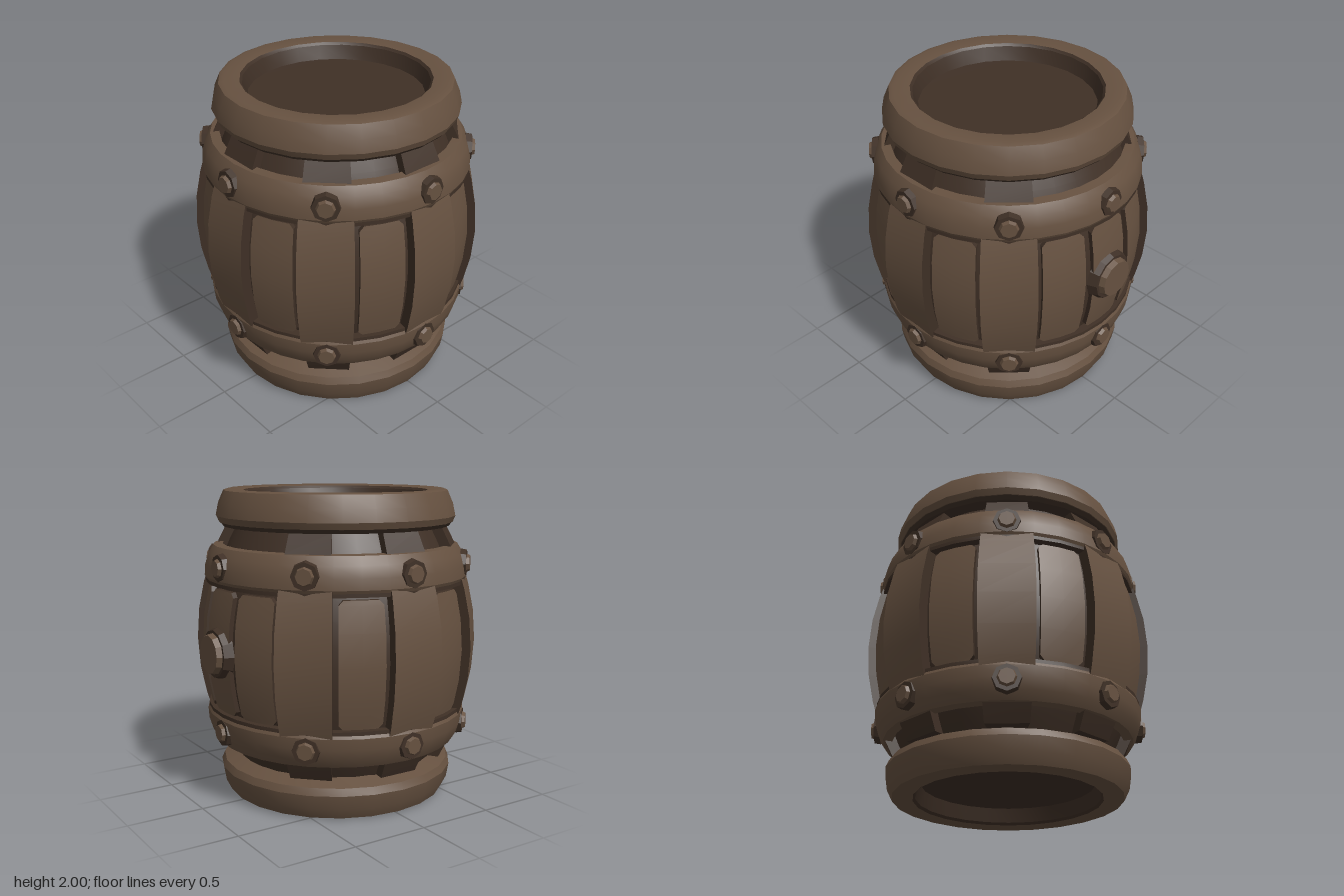
import * as THREE from 'three';
import { toCreasedNormals } from 'three/addons/utils/BufferGeometryUtils.js';

const wood = new THREE.MeshStandardMaterial({ color: 0x665140 });
wood.name = 'brown wood';
const dark = new THREE.MeshStandardMaterial({ color: 0x3f3026 });
dark.name = 'dark wood';

const STAVES = 16;
const STEP = (Math.PI * 2) / STAVES;
// Barrel bulge: stave radius at a given height
const bulge = (y) => 0.915 - 0.35 * (y - 1) ** 2;

function add(parent, name, geometry, material, crease = 0.45) {
  const mesh = new THREE.Mesh(toCreasedNormals(geometry, crease), material);
  mesh.name = name;
  parent.add(mesh);
  return mesh;
}

// Surface of revolution from [radius, y] pairs, running up the outside
function lathe(parent, name, pairs, material, segments = 24) {
  const points = pairs.map(([r, y]) => new THREE.Vector2(r, y));
  return add(parent, name, new THREE.LatheGeometry(points, segments), material);
}

// Curved plank facing +z: cross-sections at each height; face is group 0, sides group 1
function plank(heights, radius, halfAngle, cols, depth) {
  const point = (y, i, back) => {
    const half = halfAngle(y);
    const a = -half + (2 * half * i) / cols;
    const r = cols === 1 ? radius(y) / Math.cos(half) : radius(y);
    const rr = r - (back ? depth : 0);
    return [Math.sin(a) * rr, y, Math.cos(a) * rr];
  };
  const pos = [];
  const quad = (a, b, c, d) => pos.push(...a, ...b, ...c, ...a, ...c, ...d);
  const last = heights.length - 1;
  for (let j = 0; j < last; j++) {
    const [y0, y1] = [heights[j], heights[j + 1]];
    for (let i = 0; i < cols; i++) quad(point(y0, i), point(y0, i + 1), point(y1, i + 1), point(y1, i));
  }
  const faceCount = pos.length / 3;
  for (let j = 0; j < last; j++) {
    const [y0, y1] = [heights[j], heights[j + 1]];
    quad(point(y0, 0, true), point(y0, 0), point(y1, 0), point(y1, 0, true));
    quad(point(y0, cols), point(y0, cols, true), point(y1, cols, true), point(y1, cols));
  }
  for (let i = 0; i < cols; i++) {
    const [b, t] = [heights[0], heights[last]];
    quad(point(b, i, true), point(b, i + 1, true), point(b, i + 1), point(b, i));
    quad(point(t, i), point(t, i + 1), point(t, i + 1, true), point(t, i, true));
  }
  const geo = new THREE.BufferGeometry();
  geo.setAttribute('position', new THREE.Float32BufferAttribute(pos, 3));
  geo.addGroup(0, faceCount, 0);
  geo.addGroup(faceCount, pos.length / 3 - faceCount, 1);
  return geo;
}

// Low cone frustum pointing along +z
function knob(rBase, rTop, depth, sides) {
  return new THREE.CylinderGeometry(rTop, rBase, depth, sides).rotateX(Math.PI / 2);
}

export function createModel() {
  const barrel = new THREE.Group();
  barrel.name = 'barrel';
  barrel.position.z = 0.01;

  // Dark core seen in the grooves and at the necks
  const core = [];
  for (let k = 0; k <= 12; k++) {
    const y = 0.2 + (k / 12) * 1.6;
    core.push([bulge(y) - 0.06, y]);
  }
  lathe(barrel, 'core', core, dark, 32);

  // Rims with recessed heads
  lathe(barrel, 'topRim', [[0.72, 1.785], [0.765, 1.79], [0.782, 1.83], [0.765, 1.91], [0.73, 1.99],
    [0.70, 2], [0.60, 1.99]], wood);
  lathe(barrel, 'topRimLip', [[0.64, 1.765], [0.74, 1.765], [0.76, 1.79], [0.72, 1.80]], dark);
  lathe(barrel, 'topHead', [[0.60, 1.99], [0.585, 1.975], [0.555, 1.885], [0, 1.88]], dark);
  lathe(barrel, 'bottomRim', [[0.60, 0.01], [0.70, 0], [0.73, 0.01], [0.765, 0.08], [0.78, 0.17],
    [0.76, 0.215], [0.65, 0.255]], wood);
  lathe(barrel, 'bottomHead', [[0, 0.12], [0.555, 0.115], [0.585, 0.025], [0.60, 0.01]], dark);

  // Staves: broad raised ones alternate with lower, rounded ones
  const bodyHeights = [0.5, 0.62, 0.8, 1, 1.2, 1.38, 1.5];
  const panelHeights = [0.61, 0.64, 0.8, 1, 1.2, 1.36, 1.39];
  for (let i = 0; i < STAVES; i++) {
    const stave = new THREE.Group();
    stave.name = 'stave' + i;
    stave.rotation.y = i * STEP;
    const raised = i % 2 === 0 && i !== STAVES / 2;
    if (raised) {
      add(stave, 'raisedStave', plank(bodyHeights, bulge, () => 0.188, 1, 0.1), [wood, dark]);
      for (const ends of [[0.255, 0.36, 0.45], [1.55, 1.65, 1.77]]) {
        add(stave, 'staveEnd', plank(ends, bulge, () => 0.18, 1, 0.08), dark);
      }
    } else {
      const rounded = (y) => (y < 0.62 || y > 1.38 ? 0.13 : 0.163);
      add(stave, 'lowStave', plank(panelHeights, (y) => bulge(y) - 0.03, rounded, 2, 0.05), [wood, dark]);
    }
    barrel.add(stave);
  }

  // Hoops with dark edges and eight studs each
  const hoops = [
    { name: 'upperHoop', y: 1.53, side: 1 },
    { name: 'lowerHoop', y: 0.48, side: -1 },
  ];
  for (const { name, y, side } of hoops) {
    const hoop = new THREE.Group();
    hoop.name = name;
    // Offsets run from the barrel's end towards its middle
    let section = [[0.74, 0.12], [0.80, 0.115], [0.835, 0.06], [0.857, -0.01], [0.862, -0.08],
      [0.85, -0.105], [0.78, -0.11]].map(([r, d]) => [r, y + d * side]);
    if (side > 0) section = section.reverse();
    lathe(hoop, 'hoopBand', section, wood, 32);
    lathe(hoop, 'hoopEdge', [[0.78, y - side * 0.11 - 0.012], [0.853, y - side * 0.11 - 0.012],
      [0.853, y - side * 0.11 + 0.012], [0.78, y - side * 0.11 + 0.012]], dark, 32);
    for (let i = 0; i < 8; i++) {
      const stud = new THREE.Group();
      stud.name = 'stud' + i;
      stud.rotation.y = (i * Math.PI) / 4;
      add(stud, 'studRing', knob(0.092, 0.085, 0.04, 8), dark).position.set(0, y, 0.842);
      add(stud, 'studHead', knob(0.072, 0.05, 0.05, 8), wood).position.set(0, y, 0.858);
      hoop.add(stud);
    }
    barrel.add(hoop);
  }

  // Bung on the back
  const bung = new THREE.Group();
  bung.name = 'bung';
  bung.rotation.y = Math.PI;
  add(bung, 'bungRing', knob(0.175, 0.15, 0.06, 12), dark).position.set(0, 1, 0.875);
  add(bung, 'bungCap', knob(0.14, 0.12, 0.06, 12), wood).position.set(0, 1, 0.91);
  barrel.add(bung);

  const model = new THREE.Group();
  model.name = 'woodenBarrel';
  model.add(barrel);
  return model;
}
